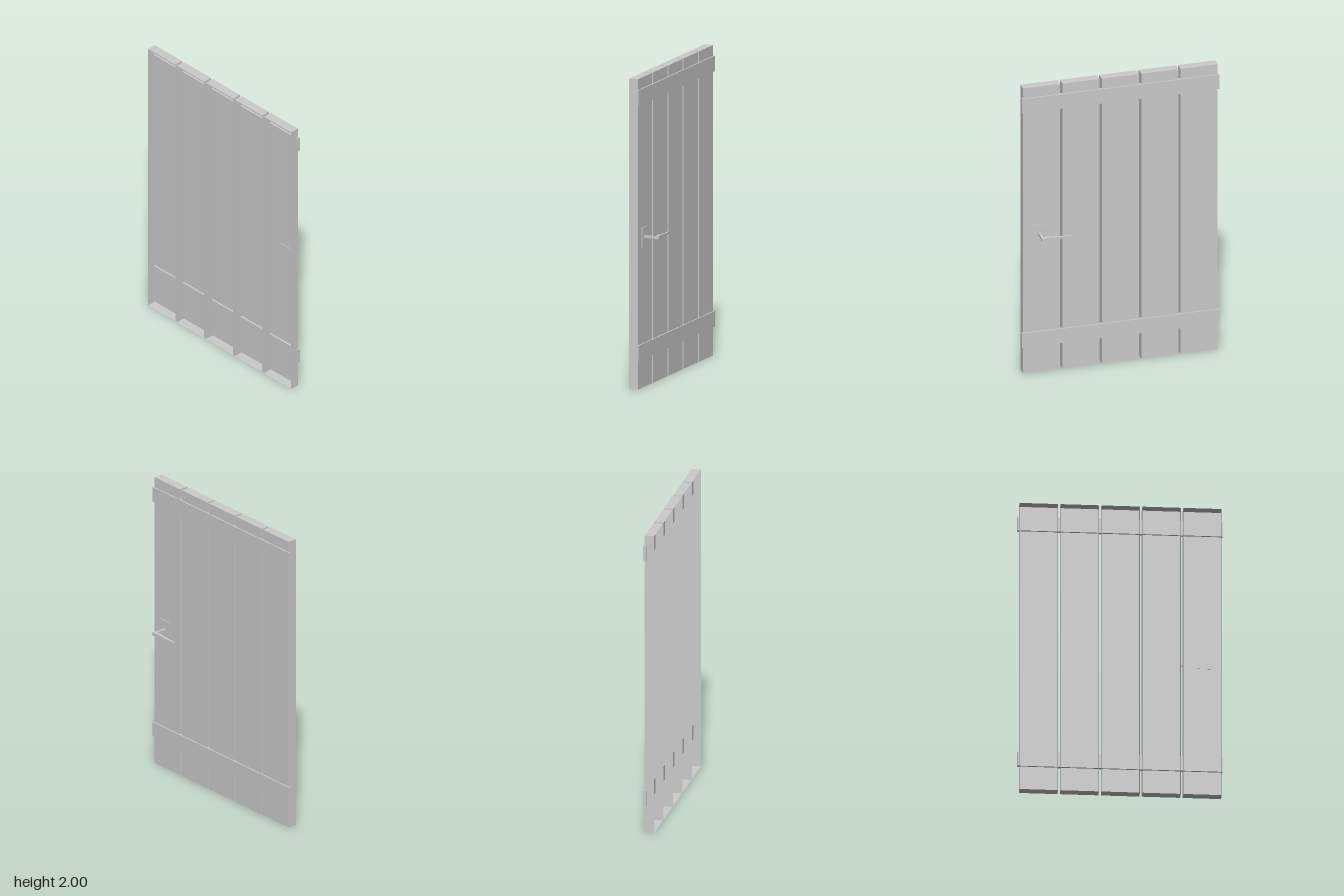
import * as THREE from 'three';

const material = new THREE.MeshStandardMaterial({ color: 0xcccccc, flatShading: true, side: THREE.DoubleSide });

// Box given by its lower and upper corners
function boxBetween([x0, y0, z0], [x1, y1, z1], depthSegments = 1) {
  const geo = new THREE.BoxGeometry(x1 - x0, y1 - y0, z1 - z0, 1, 1, depthSegments);
  return geo.translate((x0 + x1) / 2, (y0 + y1) / 2, (z0 + z1) / 2);
}

function addPart(parent, name, geometry) {
  const mesh = new THREE.Mesh(geometry, material);
  mesh.name = name;
  parent.add(mesh);
}

// Remove the -x side, leaving a hollow shell
function openBack(geo) {
  const index = Array.from(geo.index.array);
  index.splice(6, 6);
  geo.setIndex(index);
  geo.clearGroups();
  return geo;
}

// Lever: a bar whose section narrows towards its free end
function leverGeometry() {
  // z, inner x, outer x, bottom y, top y
  const sections = [
    [0.345, 0.064, 0.074, 0.964, 0.974],
    [0.42, 0.062, 0.076, 0.963, 0.975],
    [0.49, 0.06, 0.079, 0.958, 0.98],
    [0.548, 0.058, 0.081, 0.959, 0.979],
  ];
  const geo = new THREE.BoxGeometry(1, 1, 3, 1, 1, 3);
  const pos = geo.attributes.position;
  for (let i = 0; i < pos.count; i++) {
    const [z, x0, x1, y0, y1] = sections[Math.round(pos.getZ(i) + 1.5)];
    pos.setXYZ(i, pos.getX(i) < 0 ? x0 : x1, pos.getY(i) < 0 ? y0 : y1, z);
  }
  geo.computeVertexNormals();
  return geo;
}

export function createModel() {
  const door = new THREE.Group();
  door.name = 'plankDoor';

  // Five upright planks, hollow at the back, with narrow gaps
  for (let i = -2; i <= 2; i++) {
    const z = i * 0.26;
    addPart(door, 'plank', openBack(boxBetween([-0.083, 0, z - 0.122], [-0.023, 2, z + 0.122])));
  }

  // Upper and lower cross battens
  for (const [name, y] of [['lowerBatten', 0.235], ['upperBatten', 1.88]]) {
    addPart(door, name, boxBetween([-0.035, y - 0.05, -0.652], [-0.014, y + 0.05, 0.652]));
  }

  // Handle: back plate, stem and tapering lever
  const handle = new THREE.Group();
  handle.name = 'handle';
  addPart(handle, 'handlePlate', boxBetween([-0.027, 0.905, 0.492], [-0.018, 1.032, 0.578]));
  addPart(handle, 'handleStem', boxBetween([-0.02, 0.961, 0.53], [0.065, 0.977, 0.545]));
  addPart(handle, 'handleLever', leverGeometry());
  door.add(handle);

  return door;
}
